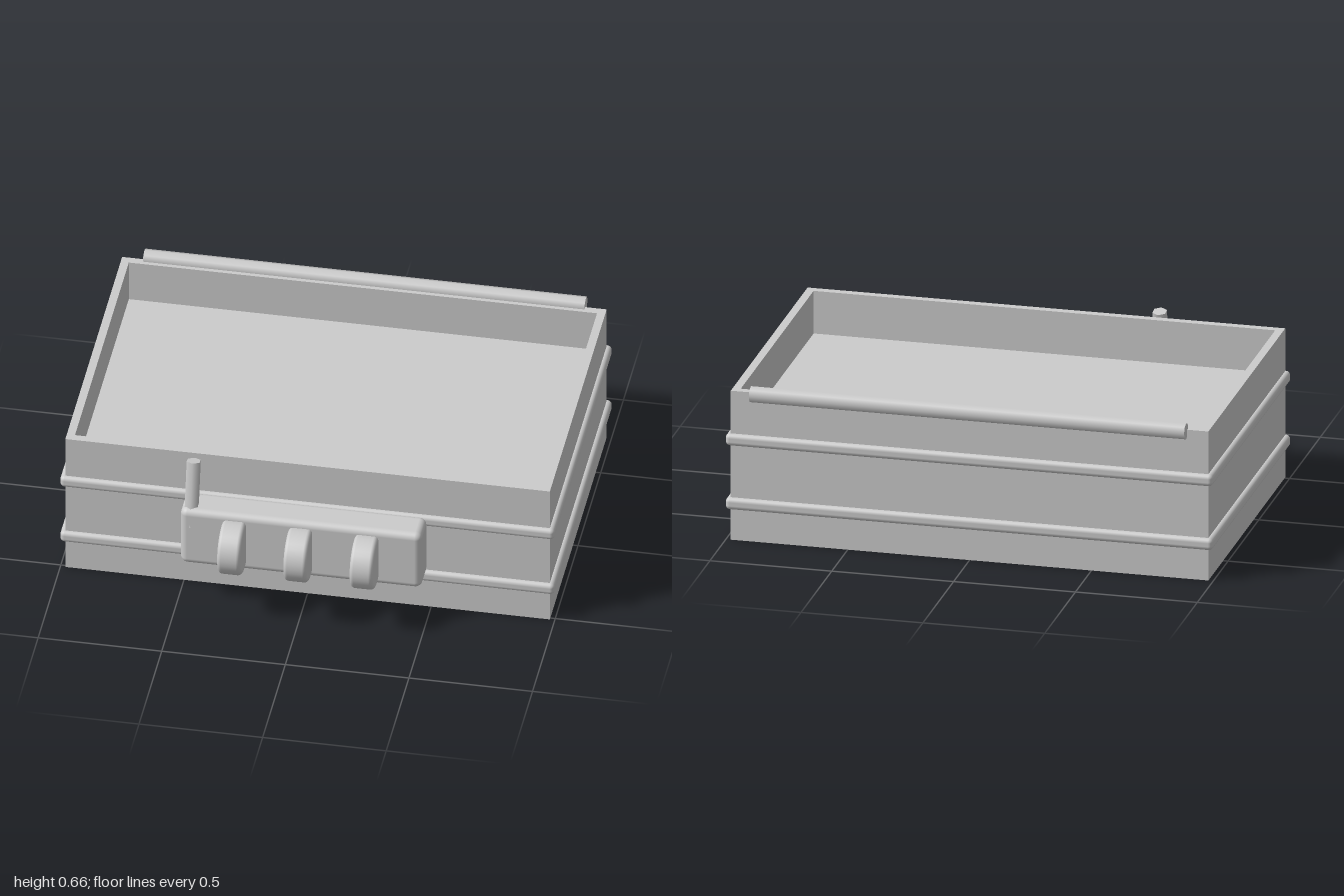
import * as THREE from 'three';
import { RoundedBoxGeometry } from 'three/addons/geometries/RoundedBoxGeometry.js';

const WIDTH = 1.96, DEPTH = 1.25, HEIGHT = 0.63, CENTER_Z = -0.115, WALL = 0.033;

export function createModel() {
  const model = new THREE.Group();
  const material = new THREE.MeshStandardMaterial({ color: 0xcccccc });

  const add = (name, geometry, x, y, z) => {
    const mesh = new THREE.Mesh(geometry, material);
    mesh.name = name;
    mesh.position.set(x, y, z);
    model.add(mesh);
    return mesh;
  };

  const rectangle = (Type, w, d) => new Type([
    new THREE.Vector2(-w / 2, -d / 2), new THREE.Vector2(w / 2, -d / 2),
    new THREE.Vector2(w / 2, d / 2), new THREE.Vector2(-w / 2, d / 2),
  ]);

  // Case: open-topped walls around a closed base
  const outline = rectangle(THREE.Shape, WIDTH, DEPTH);
  outline.holes.push(rectangle(THREE.Path, WIDTH - 2 * WALL, DEPTH - 2 * WALL));
  const walls = new THREE.ExtrudeGeometry(outline, { depth: HEIGHT, bevelEnabled: false });
  walls.rotateX(-Math.PI / 2);
  add('caseWalls', walls, 0, 0, CENTER_Z);
  add('caseBase', new THREE.BoxGeometry(WIDTH - 2 * WALL, 0.42, DEPTH - 2 * WALL), 0, 0.21, CENTER_Z);

  // Raised bands; the upper one also closes the tray as its floor
  for (const [name, y] of [['lowerBand', 0.155], ['upperBand', 0.425]]) {
    add(name, new RoundedBoxGeometry(2, 0.05, 1.285, 3, 0.018), 0, y, CENTER_Z);
  }

  // Hinge rod along the back rim
  const rod = new THREE.CylinderGeometry(0.034, 0.034, 1.786, 8);
  rod.rotateZ(Math.PI / 2);
  add('hingeRod', rod, 0, 0.629, -0.757);

  // Combination lock on the front
  add('lockBody', new RoundedBoxGeometry(0.976, 0.264, 0.14, 4, 0.028), -0.002, 0.317, 0.585);

  // Dial wheels with rounded edges
  const r = 0.11, half = 0.047, bevel = 0.016;
  const profile = [new THREE.Vector2(0, -half), new THREE.Vector2(r - bevel, -half)];
  for (const side of [-1, 1]) {
    for (let i = 0; i <= 4; i++) {
      const a = side * (side < 0 ? 4 - i : i) * Math.PI / 8;
      profile.push(new THREE.Vector2(
        r - bevel + bevel * Math.cos(a),
        side * (half - bevel) + bevel * Math.sin(a),
      ));
    }
  }
  profile.push(new THREE.Vector2(0, half));
  const wheel = new THREE.LatheGeometry(profile, 32);
  wheel.rotateZ(Math.PI / 2);
  [-0.27, -0.002, 0.266].forEach((x, i) => add(`dialWheel${i + 1}`, wheel, x, 0.316, 0.683));

  // Release lever, leaning back toward the case
  const lever = add('releaseLever', new THREE.CylinderGeometry(0.03, 0.03, 0.28, 6), -0.45, 0.498, 0.598);
  lever.rotation.x = -0.215;

  return model;
}
